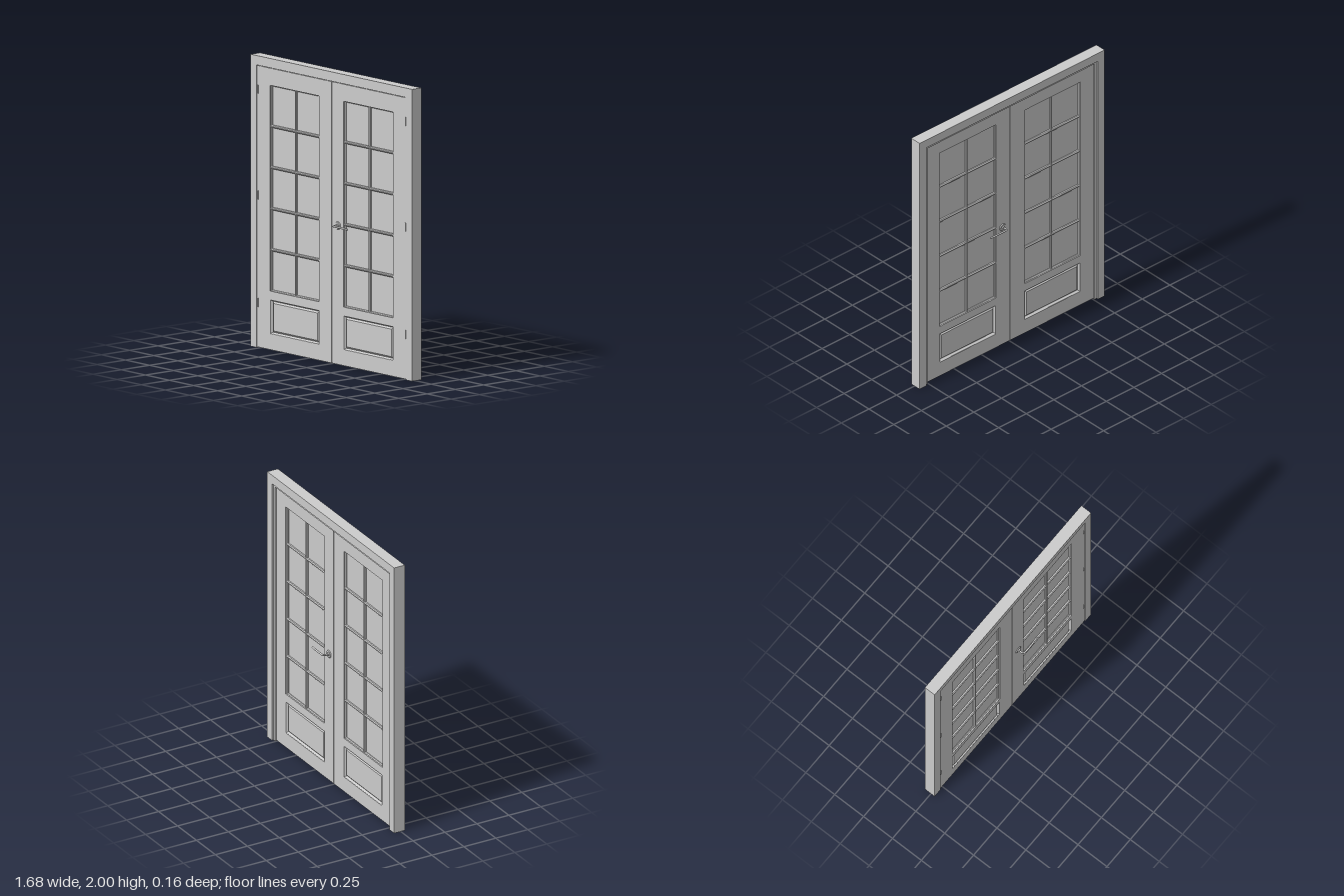
import * as THREE from 'three';

const material = new THREE.MeshStandardMaterial({ color: 0xcccccc });

function add(parent, name, geometry, x = 0, y = 0, z = 0) {
  const mesh = new THREE.Mesh(geometry, material);
  mesh.name = name;
  mesh.position.set(x, y, z);
  parent.add(mesh);
  return mesh;
}

// Box given by its two corners
function block(parent, name, [x0, y0, z0], [x1, y1, z1]) {
  const g = new THREE.BoxGeometry(x1 - x0, y1 - y0, z1 - z0);
  return add(parent, name, g, (x0 + x1) / 2, (y0 + y1) / 2, (z0 + z1) / 2);
}

function trace(path, x0, y0, x1, y1) {
  path.moveTo(x0, y0);
  path.lineTo(x1, y0);
  path.lineTo(x1, y1);
  path.lineTo(x0, y1);
  path.closePath();
  return path;
}

// Rectangular plate with optional holes and chamfers, centred on z = 0
function plate(rect, holes, thickness, bevel = 0, slope = bevel) {
  const shape = trace(new THREE.Shape(), ...rect);
  for (const hole of holes) shape.holes.push(trace(new THREE.Path(), ...hole));
  const g = new THREE.ExtrudeGeometry(shape, {
    depth: thickness - 2 * bevel, bevelEnabled: bevel > 0, bevelThickness: bevel,
    bevelSize: slope, bevelOffset: -slope, bevelSegments: 1,
  });
  return g.translate(0, 0, bevel - thickness / 2);
}

const grow = ([x0, y0, x1, y1], d) => [x0 - d, y0 - d, x1 + d, y1 + d];

// Glazing bar with chamfered edges, standing along y
function bar(length, width, thickness) {
  const w = width / 2, t = thickness / 2, e = 0.003;
  const s = new THREE.Shape([
    [-e, -t], [e, -t], [w, -t + 0.006], [w, t - 0.006],
    [e, t], [-e, t], [-w, t - 0.006], [-w, -t + 0.006],
  ].map(([x, y]) => new THREE.Vector2(x, y)));
  return new THREE.ExtrudeGeometry(s, { depth: length, bevelEnabled: false })
    .translate(0, 0, -length / 2).rotateX(Math.PI / 2);
}

const THICK = 0.054;

// One leaf: stiles and rails, glazing grid and raised lower panel
function makeDoor(name, x0, x1, glassX0, glassX1) {
  const door = new THREE.Group();
  door.name = name;
  const glass = [glassX0, 0.405, glassX1, 1.815];
  const panel = [glassX0 + 0.002, 0.113, glassX1 - 0.002, 0.345];
  add(door, 'stilesAndRails', plate([x0, 0.004, x1, 1.932], [glass, panel], THICK));

  // Panes and glazing bars
  add(door, 'glazing', plate(grow(glass, 0.003), [], 0.014));
  add(door, 'glazingBead', plate(grow(glass, 0.006), [grow(glass, -0.007)], 0.036, 0.006));
  const w = glassX1 - glassX0, h = glass[3] - glass[1], cx = (glassX0 + glassX1) / 2;
  add(door, 'verticalGlazingBar', bar(h, 0.016, 0.044), cx, glass[1] + h / 2);
  for (let i = 1; i < 5; i++) {
    const m = add(door, 'horizontalGlazingBar', bar(w, 0.018, 0.046), cx, glass[1] + (h * i) / 5);
    m.rotation.z = Math.PI / 2;
  }

  // Raised panel set in a chamfered moulding
  add(door, 'panelMoulding', plate(grow(panel, 0.01), [grow(panel, -0.01)], 0.05, 0.014, 0.009));
  add(door, 'raisedPanel', plate(grow(panel, -0.008), [], 0.04, 0.012, 0.014));
  return door;
}

// Lever handle on one face of the door; side is 1 in front, -1 behind
function makeHandle(side) {
  const handle = new THREE.Group();
  handle.name = side > 0 ? 'frontHandle' : 'backHandle';
  const x = 0.0635, y = 0.955;
  const rose = new THREE.CylinderGeometry(0.024, 0.029, 0.007, 32).rotateX(side * Math.PI / 2);
  add(handle, 'rosette', rose, x, y, side * 0.0295);
  const collar = new THREE.CylinderGeometry(0.011, 0.013, 0.012, 24).rotateX(side * Math.PI / 2);
  add(handle, 'collar', collar, x, y, side * 0.036);
  const path = new THREE.CatmullRomCurve3([
    [x, y, 0.027], [x, y, 0.062], [0.073, 0.956, 0.073],
    [0.105, 0.957, 0.0755], [0.15, 0.956, 0.075], [0.208, 0.953, 0.069],
  ].map(([a, b, c]) => new THREE.Vector3(a, b, side * c)));
  add(handle, 'lever', new THREE.TubeGeometry(path, 48, 0.0065, 12), 0, 0, 0);
  add(handle, 'leverTip', new THREE.SphereGeometry(0.0065, 12, 8), 0.208, 0.953, side * 0.069);
  return handle;
}

export function createModel() {
  const model = new THREE.Group();
  model.name = 'doubleDoor';

  // Frame with a stop strip behind the leaves
  const frame = new THREE.Group();
  frame.name = 'frame';
  model.add(frame);
  const back = -0.052, front = 0.032;
  const portal = (name, outX, top, inX, inTop, z0, z1) => {
    const s = new THREE.Shape([
      [-outX, 0], [-inX, 0], [-inX, inTop], [inX, inTop],
      [inX, 0], [outX, 0], [outX, top], [-outX, top],
    ].map(([a, b]) => new THREE.Vector2(a, b)));
    add(frame, name, new THREE.ExtrudeGeometry(s, { depth: z1 - z0, bevelEnabled: false }), 0, 0, z0);
  };
  portal('jambsAndHead', 0.838, 2, 0.777, 1.936, back, front);
  portal('doorStop', 0.78, 1.94, 0.757, 1.916, -0.04, -0.026);

  // Leaves and the strip closing the meeting joint
  model.add(makeDoor('rightDoor', -0.774, -0.002, -0.64, -0.133));
  model.add(makeDoor('leftDoor', 0.002, 0.774, 0.122, 0.635));
  block(model, 'meetingStrip', [-0.008, 0.004, -0.018], [0.008, 1.924, 0.018]);

  // Hinges on both jambs
  for (const side of [-1, 1]) {
    for (const y of [0.31, 1.045, 1.77]) {
      add(model, 'hinge', new THREE.CylinderGeometry(0.004, 0.004, 0.06, 12), side * 0.766, y, 0.028);
    }
  }

  model.add(makeHandle(1), makeHandle(-1));
  return model;
}
